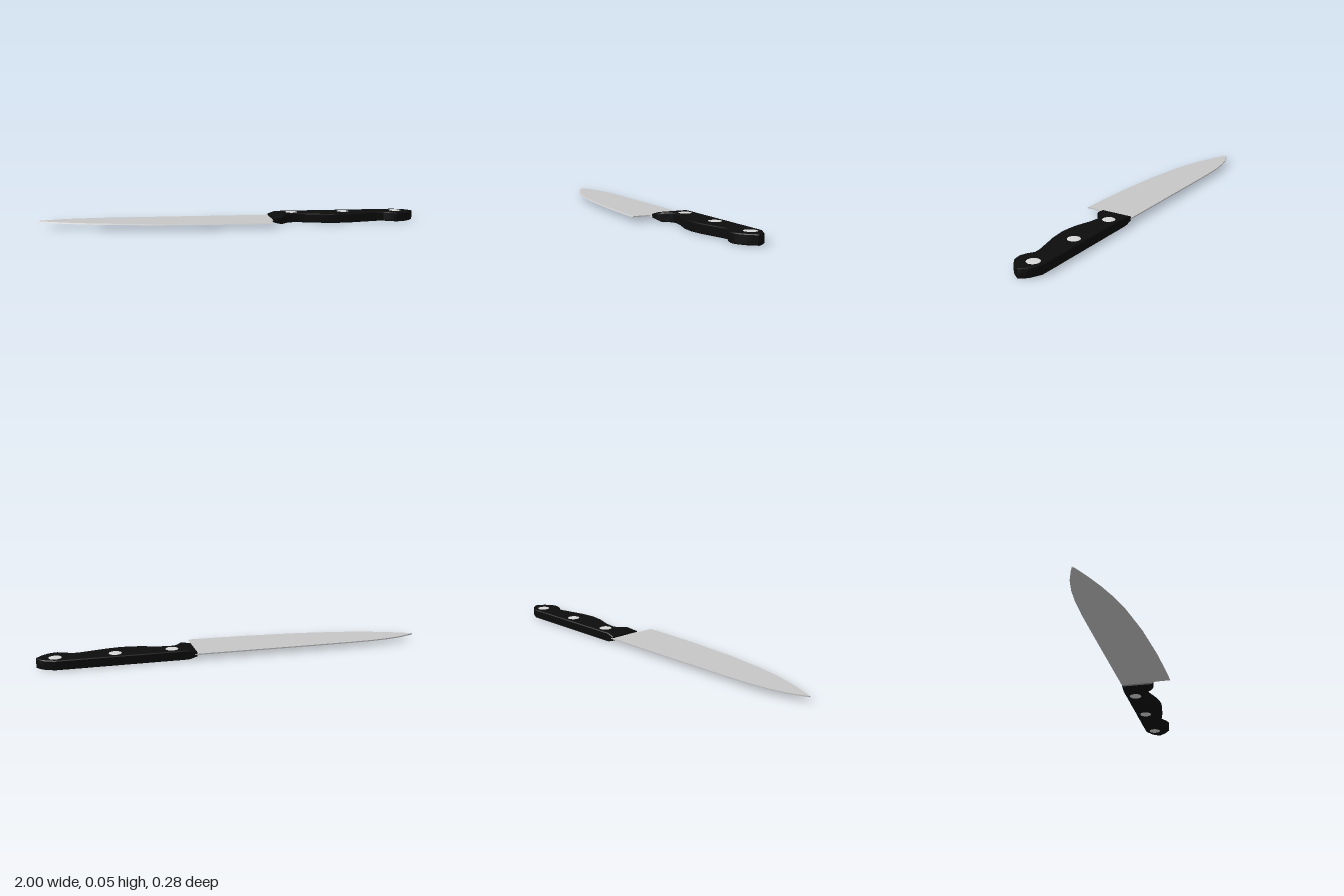
import * as THREE from 'three';
import { toCreasedNormals } from 'three/addons/utils/BufferGeometryUtils.js';

const MID = 0.026; // height of the knife's middle plane

// Skin a list of cross-sections, each { x, ring: [[z, y], ...] }, ordered by rising x
function loft(sections, crease) {
  const n = sections[0].ring.length;
  const positions = sections.flatMap(({ x, ring }) => ring.flatMap(([z, y]) => [x, MID + y, z]));
  const index = [];
  for (let i = 0; i < sections.length - 1; i++) {
    for (let j = 0; j < n; j++) {
      const a = i * n + j, b = i * n + (j + 1) % n;
      index.push(a, b, a + n, b, b + n, a + n);
    }
  }
  // End caps
  const last = (sections.length - 1) * n;
  for (let j = 1; j < n - 1; j++) {
    index.push(0, j + 1, j, last, last + j, last + j + 1);
  }
  const geometry = new THREE.BufferGeometry();
  geometry.setAttribute('position', new THREE.Float32BufferAttribute(positions, 3));
  geometry.setIndex(index);
  return toCreasedNormals(geometry, crease);
}

export function createModel() {
  const knife = new THREE.Group();
  knife.name = 'kitchenKnife';

  const material = (name, color) => {
    const m = new THREE.MeshStandardMaterial({ color });
    m.name = name;
    return m;
  };
  const steel = material('blade steel', 0xc6c6c6);
  const black = material('handle black', 0x0c0c0c);
  const bright = material('rivet steel', 0xd6d6d6);

  const add = (name, geometry, mat) => {
    const mesh = new THREE.Mesh(geometry, mat);
    mesh.name = name;
    knife.add(mesh);
    return mesh;
  };

  // Blade: x, spine z, cutting edge z; the upper face has a narrow ground edge
  const bladeStations = [
    [-1, -0.067, -0.058], [-0.97, -0.08, -0.043], [-0.905, -0.104, -0.014],
    [-0.825, -0.121, 0.017], [-0.735, -0.131, 0.045], [-0.61, -0.136, 0.074],
    [-0.4, -0.137, 0.105], [-0.13, -0.137, 0.126], [0.08, -0.137, 0.134],
    [0.205, -0.137, 0.136], [0.207, -0.137, 0.06], [0.212, -0.137, 0.042], [0.23, -0.137, 0.03],
  ];
  const t = 0.003;
  add('blade', loft(bladeStations.map(([x, spine, edge]) => ({
    x,
    ring: [[spine, t], [edge - 0.006, t], [edge, -t], [spine, -t]],
  })), 0.35), steel);

  // Handle: x, back z, belly z, half thickness, belly bevel width and depth
  const handleStations = [
    [0.217, -0.137, 0.036, 0.011, 0.006, 0.003],
    [0.25, -0.137, 0.034, 0.022, 0.022, 0.011],
    [0.262, -0.137, 0.031, 0.024, 0.02, 0.012],
    [0.276, -0.137, 0.022, 0.024, 0.012, 0.009],
    [0.295, -0.138, -0.01], [0.312, -0.138, -0.024], [0.338, -0.138, -0.03],
    [0.4, -0.138, -0.02], [0.485, -0.139, 0.007], [0.535, -0.139, 0.015],
    [0.58, -0.139, 0.018], [0.655, -0.14, 0.009], [0.735, -0.14, -0.01],
    [0.795, -0.141, -0.024], [0.83, -0.141, -0.025], [0.862, -0.141, -0.003],
    [0.895, -0.141, 0.008], [0.915, -0.141, 0.005], [0.935, -0.132, -0.001],
    [0.97, -0.115, -0.026], [0.985, -0.098, -0.045], [1, -0.075, -0.065],
  ];
  const b = 0.004;
  add('handle', loft(handleStations.map(([x, back, belly, h = 0.024, w = 0.005, d = 0.004]) => ({
    x,
    ring: [
      [back + b, h], [belly - w, h], [belly, h - d], [belly, d - h],
      [belly - w, -h], [back + b, -h], [back, b - h], [back, h - b],
    ],
  })), 0.6), black);

  // Rivets: a shallow domed head on both faces of the handle
  const rivetProfile = [[0.033, -0.002], [0.032, 0.0006], [0.026, 0.0011], [0.018, 0.0016], [0.009, 0.0019], [0, 0.002]]
    .map(([r, y]) => new THREE.Vector2(r, y));
  const rivetGeometry = new THREE.LatheGeometry(rivetProfile, 24);
  [0.337, 0.62, 0.91].forEach((x, i) => {
    for (const side of [1, -1]) {
      const rivet = add(`rivet${i + 1}${side > 0 ? 'Upper' : 'Lower'}`, rivetGeometry, bright);
      rivet.position.set(x, MID + side * 0.024, -0.085);
      if (side < 0) rivet.rotation.x = Math.PI;
    }
  });

  return knife;
}
